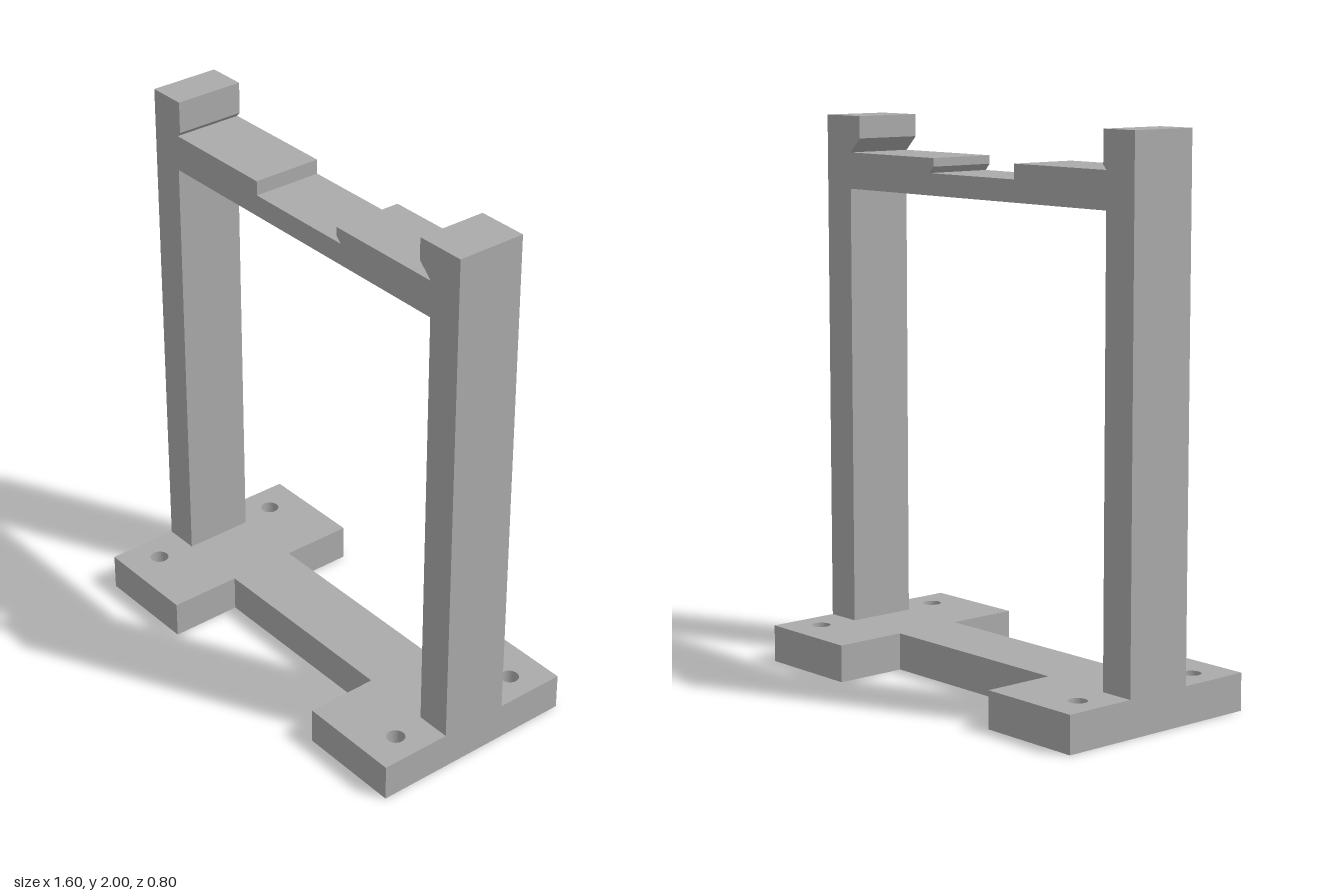
import * as THREE from 'three';

const BASE_H = 0.135; // base thickness
const HALF_D = 0.13;  // half depth of the frame

const outline = (points) => new THREE.Shape(points.map(([x, y]) => new THREE.Vector2(x, y)));

function extrude(shape, depth) {
  return new THREE.ExtrudeGeometry(shape, { depth, bevelEnabled: false, curveSegments: 16 });
}

export function createModel() {
  const model = new THREE.Group();
  const grey = new THREE.MeshStandardMaterial({ color: 0xaaaaaa });
  grey.name = 'grey plastic';

  // Base: two square feet joined by a crossbar, with four screw holes
  const base = outline([
    [-0.8, -0.4], [-0.4, -0.4], [-0.4, -HALF_D], [0.4, -HALF_D], [0.4, -0.4], [0.8, -0.4],
    [0.8, 0.4], [0.4, 0.4], [0.4, HALF_D], [-0.4, HALF_D], [-0.4, 0.4], [-0.8, 0.4],
  ]);
  for (const x of [-0.693, 0.693]) {
    for (const z of [-0.266, 0.266]) {
      base.holes.push(new THREE.Path().absarc(x, z, 0.034, 0, Math.PI * 2, true));
    }
  }
  const baseMesh = new THREE.Mesh(extrude(base, BASE_H).rotateX(-Math.PI / 2), grey);
  baseMesh.name = 'base';
  model.add(baseMesh);

  // Upright frame: two posts with undercut hooks and a notched top rail
  const frame = outline([
    [-0.8, BASE_H], [-0.67, BASE_H], [-0.67, 1.737], [0.667, 1.737], [0.667, BASE_H], [0.8, BASE_H],
    [0.8, 2], [0.612, 2], [0.612, 1.92], [0.665, 1.868],       // left hook
    [0.2, 1.868], [0.2, 1.838], [0.222, 1.815],                // notch, left end
    [-0.222, 1.815], [-0.222, 1.868],                          // notch, right end
    [-0.67, 1.868], [-0.655, 1.885], [-0.655, 2], [-0.8, 2],   // right hook
  ]);
  const frameMesh = new THREE.Mesh(extrude(frame, HALF_D * 2).translate(0, 0, -HALF_D), grey);
  frameMesh.name = 'uprightFrame';
  model.add(frameMesh);

  return model;
}
